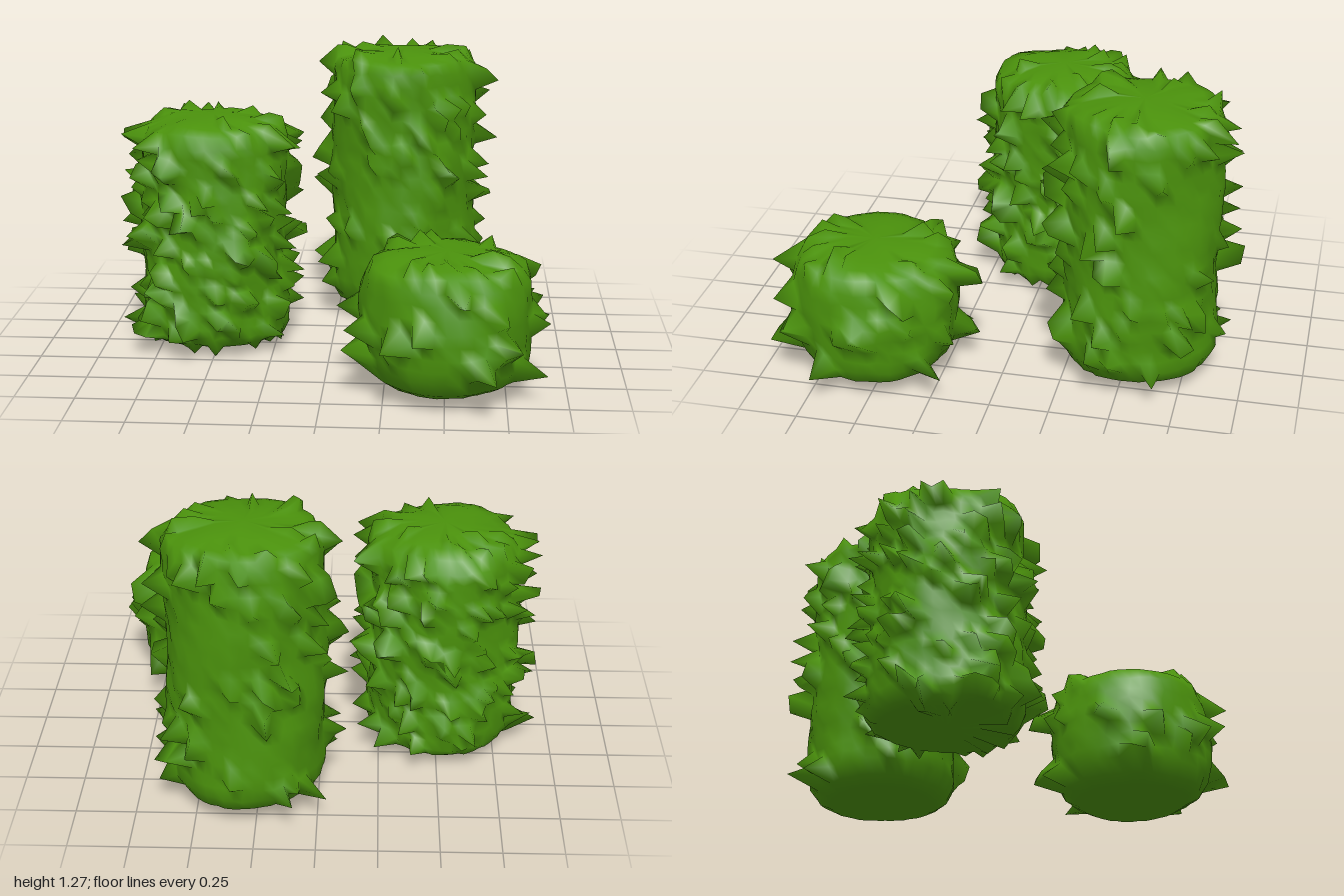
import * as THREE from 'three';
import { mergeVertices } from 'three/addons/utils/BufferGeometryUtils.js';

const leaf = new THREE.MeshStandardMaterial({ color: 0x4b920c });
leaf.name = 'leaf green';
leaf.side = THREE.DoubleSide;

function seeded(seed) {
  return () => {
    seed = (seed * 16807) % 2147483647;
    return seed / 2147483647;
  };
}

// Rounded column outline from the bottom centre to the top centre
function outline({ r, y0, y1, low, high, step, belly }) {
  const pts = [new THREE.Vector2(0, y0)];
  const add = (x, y) => pts.push(new THREE.Vector2(x, y));
  add(r * 0.4, y0);
  add(r - low, y0);
  add(r - low * 0.4, y0 + low * 0.35);
  const rows = Math.round((y1 - high - y0 - low) / step);
  for (let i = 0; i <= rows; i++) {
    const t = i / rows;
    add(r + belly * Math.sin(Math.PI * t), THREE.MathUtils.lerp(y0 + low, y1 - high, t));
  }
  add(r - high * 0.3, y1 - high * 0.4);
  add(r - high, y1 - 0.016);
  add(r * 0.58, y1 - 0.003);
  add(r * 0.35, y1 + 0.005);
  add(0, y1 + 0.01);
  return pts;
}

// Shrub: a column whose scattered vertices are pulled out into leaf tips
function shrub(name, o) {
  const rnd = seeded(o.seed);
  let geo = new THREE.LatheGeometry(outline(o), o.sides);
  geo.deleteAttribute('uv');
  geo.deleteAttribute('normal');
  geo = mergeVertices(geo, 1e-4);
  const p = geo.attributes.position;
  for (let i = 0; i < p.count; i++) {
    const x = p.getX(i), y = p.getY(i), z = p.getZ(i);
    const rad = Math.hypot(x, z);
    const a = rnd(), b = rnd(), c = rnd(), d = rnd();
    if (rad < o.r * 0.5) continue;
    const ang = Math.atan2(z, x) + (b - 0.5) * 0.06;
    // gentle swelling of the whole clump
    let out = 0.008 * Math.sin(3 * ang + 9 * y + o.seed) + (c - 0.5) * 0.012;
    let up = (d - 0.5) * 0.015;
    if (y < o.y0 + o.low * 0.5) {
      up = o.baseTips && a < 0.14 ? -0.045 * c : 0;
    } else if (y > o.y1 - o.high * 0.6) {
      up = 0.006 * Math.sin(4 * ang + o.seed);
      if (a < 0.1) {
        up = 0.015 + 0.035 * c;
        out = 0.03 * d;
      }
    } else if (a < o.density) {
      out = 0.04 + o.tip * c;
      up = (d - 0.5) * 0.06;
    }
    p.setXYZ(i, Math.cos(ang) * (rad + out), y + up, Math.sin(ang) * (rad + out));
  }
  geo.computeVertexNormals();
  const mesh = new THREE.Mesh(geo, leaf);
  mesh.name = name;
  mesh.position.set(o.x, 0, o.z);
  return mesh;
}

export function createModel() {
  const group = new THREE.Group();
  group.name = 'shrubs';
  group.add(
    shrub('mediumShrub', {
      x: -0.52, z: -0.06, r: 0.318, y0: 0.045, y1: 1.015, low: 0.05, high: 0.09, belly: 0,
      step: 0.04, sides: 54, density: 0.14, tip: 0.07, baseTips: true, seed: 1137,
    }),
    shrub('tallShrub', {
      x: 0.295, z: -0.545, r: 0.322, y0: 0.05, y1: 1.23, low: 0.09, high: 0.065, belly: 0.004,
      step: 0.05, sides: 50, density: 0.085, tip: 0.075, baseTips: false, seed: 4271,
    }),
    shrub('shortShrub', {
      x: 0.505, z: 0.54, r: 0.335, y0: 0.05, y1: 0.585, low: 0.09, high: 0.08, belly: 0.02,
      step: 0.05, sides: 44, density: 0.1, tip: 0.08, baseTips: false, seed: 9043,
    }),
  );
  return group;
}
